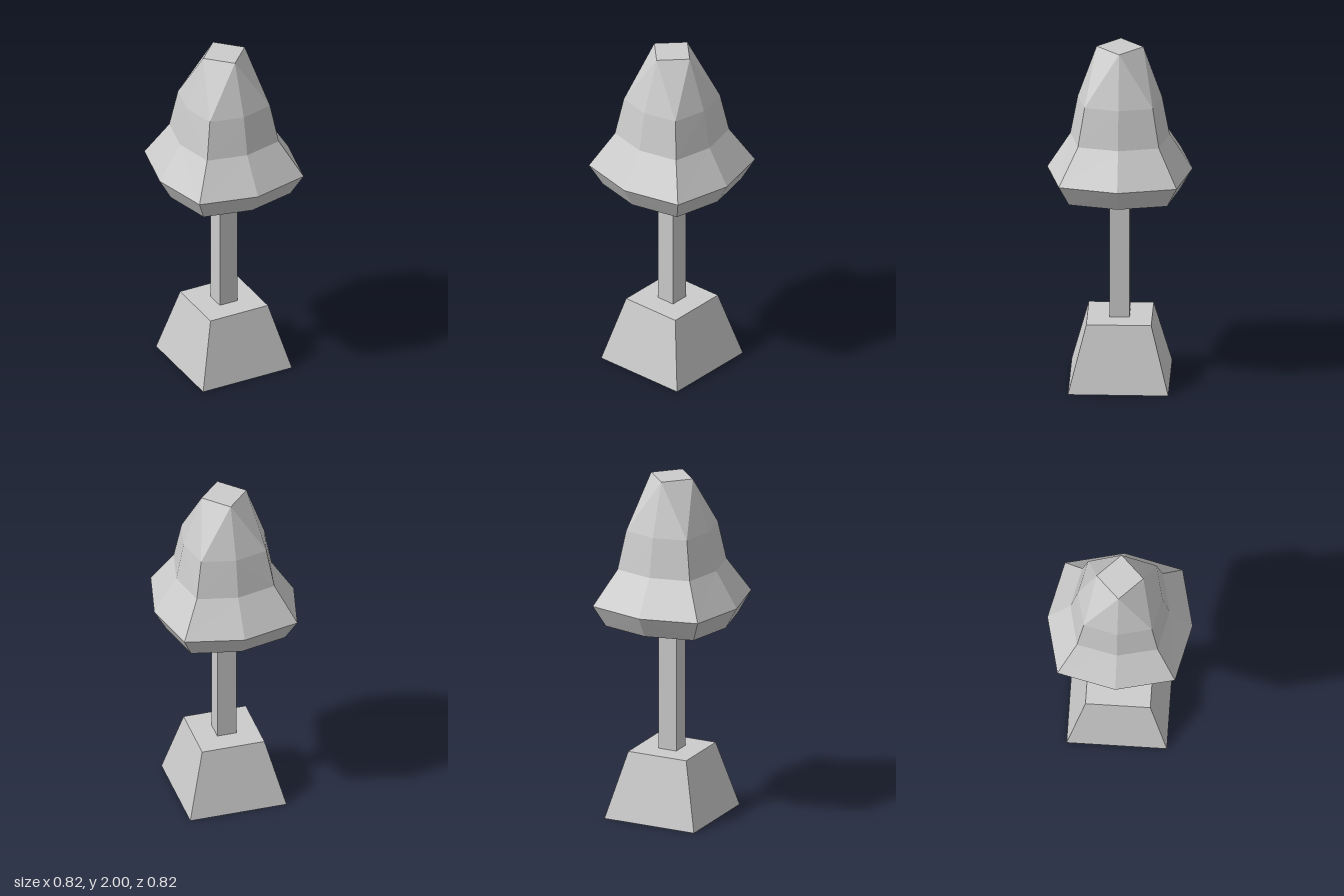
import * as THREE from 'three';

const grey = new THREE.MeshStandardMaterial({ color: 0xcccccc, flatShading: true });
const greyThin = new THREE.MeshStandardMaterial({ color: 0xcccccc, flatShading: true, side: THREE.DoubleSide });

// Lamp shade: eight-sided rings [height, side radius, corner offset], capped at both ends
function shadeGeometry() {
  const rings = [
    [1.145, 0.34, 0.277],
    [1.27, 0.41, 0.332],
    [1.475, 0.28, 0.228],
    [1.7, 0.238, 0.192],
    [2, 0.132, 0.066], // corners fall on the edges of the square top
  ];
  const pos = [], index = [];
  for (const [y, side, corner] of rings) {
    for (let k = 0; k < 8; k++) {
      const a = k * Math.PI / 4;
      const r = k % 2 ? corner * Math.SQRT2 : side;
      pos.push(r * Math.sin(a), y, r * Math.cos(a));
    }
  }
  const top = (rings.length - 1) * 8;
  for (let i = 0; i < top; i += 8) {
    for (let k = 0; k < 8; k++) {
      const a = i + k, b = i + (k + 1) % 8, c = b + 8, d = a + 8;
      // Diagonals always run from a lower corner to an upper side point
      if (k % 2) index.push(a, b, c, a, c, d);
      else index.push(a, b, d, b, c, d);
    }
  }
  for (let k = 1; k < 7; k++) {
    index.push(0, k + 1, k);
    index.push(top, top + k, top + k + 1);
  }
  const geo = new THREE.BufferGeometry();
  geo.setAttribute('position', new THREE.Float32BufferAttribute(pos, 3));
  geo.setIndex(index);
  const flat = geo.toNonIndexed();
  flat.computeVertexNormals();
  return flat;
}

// Square tapered sleeve, open at both ends
function squareSleeve(topHalf, bottomHalf, y0, y1) {
  const geo = new THREE.CylinderGeometry(topHalf * Math.SQRT2, bottomHalf * Math.SQRT2, y1 - y0, 4, 1, true);
  return geo.rotateY(Math.PI / 4).translate(0, (y0 + y1) / 2, 0);
}

export function createModel() {
  const group = new THREE.Group();
  const add = (name, geometry, material) => {
    const mesh = new THREE.Mesh(geometry, material);
    mesh.name = name;
    group.add(mesh);
  };

  // Hollow base, open underneath, with a flat top
  add('base', squareSleeve(0.183, 0.283, 0, 0.385), greyThin);
  add('baseTop', new THREE.PlaneGeometry(0.366, 0.366).rotateX(-Math.PI / 2).translate(0, 0.385, 0), greyThin);

  // Square pole between base and shade
  add('pole', squareSleeve(0.056, 0.056, 0.385, 1.145), greyThin);

  add('shade', shadeGeometry(), grey);
  return group;
}
